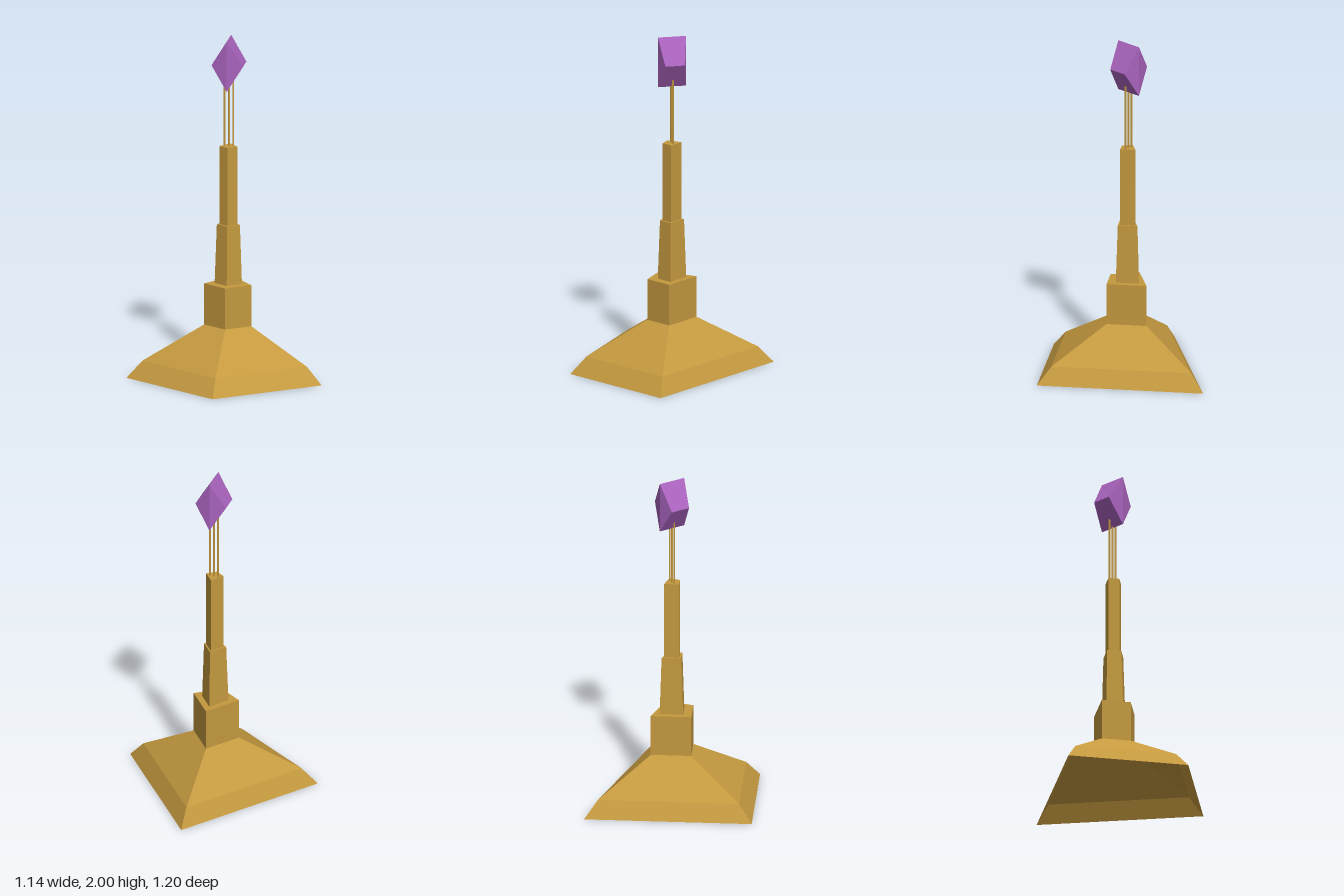
import * as THREE from 'three';

const gold = new THREE.MeshStandardMaterial({ color: 0xc4993f, flatShading: true, side: THREE.DoubleSide });
const violet = new THREE.MeshStandardMaterial({ color: 0xa963bd, flatShading: true });

// Four-sided tier whose section is a kite: side corners lie at 72 degrees from the front
function kiteTier(name, rBottom, rTop, y0, y1, open = false) {
  const geo = new THREE.CylinderGeometry(rTop, rBottom, y1 - y0, 4, 1, open);
  const pos = geo.attributes.position;
  for (let i = 0; i < pos.count; i++) {
    const x = pos.getX(i);
    pos.setX(i, x * Math.sin(Math.PI * 0.4));
    pos.setZ(i, pos.getZ(i) + Math.abs(x) * Math.cos(Math.PI * 0.4));
  }
  geo.translate(0, (y0 + y1) / 2, 0);
  const flat = geo.toNonIndexed();
  flat.computeVertexNormals();
  const mesh = new THREE.Mesh(flat, gold);
  mesh.name = name;
  return mesh;
}

// Diamond prism whose side edges are shorter than its top and bottom edges
function crystalGeometry() {
  const ring = [[0, 2, 0.083], [-0.093, 1.85, 0.058], [0, 1.7, 0.083], [0.093, 1.85, 0.058]];
  const verts = [];
  for (const s of [1, -1]) for (const [x, y, z] of ring) verts.push(x, y, z * s);
  const index = [0, 1, 2, 0, 2, 3, 4, 6, 5, 4, 7, 6];
  for (let i = 0; i < 4; i++) {
    const j = (i + 1) % 4;
    index.push(i, i + 4, j, j, i + 4, j + 4);
  }
  const geo = new THREE.BufferGeometry();
  geo.setAttribute('position', new THREE.Float32BufferAttribute(verts, 3));
  geo.setIndex(index);
  const flat = geo.toNonIndexed();
  flat.computeVertexNormals();
  return flat;
}

export function createModel() {
  const model = new THREE.Group();
  model.name = 'crystalTower';

  // Hollow flared base and stepped shaft
  model.add(
    kiteTier('baseRim', 0.6, 0.505, 0, 0.1, true),
    kiteTier('baseSlope', 0.505, 0.145, 0.1, 0.3, true),
    kiteTier('plinth', 0.145, 0.145, 0.3, 0.545),
    kiteTier('lowerShaft', 0.084, 0.071, 0.545, 0.895),
    kiteTier('upperShaft', 0.055, 0.055, 0.895, 1.36),
  );

  // Thin rods carrying the crystal
  for (const x of [-0.025, 0, 0.025]) {
    const rod = new THREE.Mesh(new THREE.CylinderGeometry(0.006, 0.006, 0.4, 6), gold);
    rod.position.set(x, 1.55, 0);
    rod.name = 'rod';
    model.add(rod);
  }

  const crystal = new THREE.Mesh(crystalGeometry(), violet);
  crystal.name = 'crystal';
  model.add(crystal);
  return model;
}
